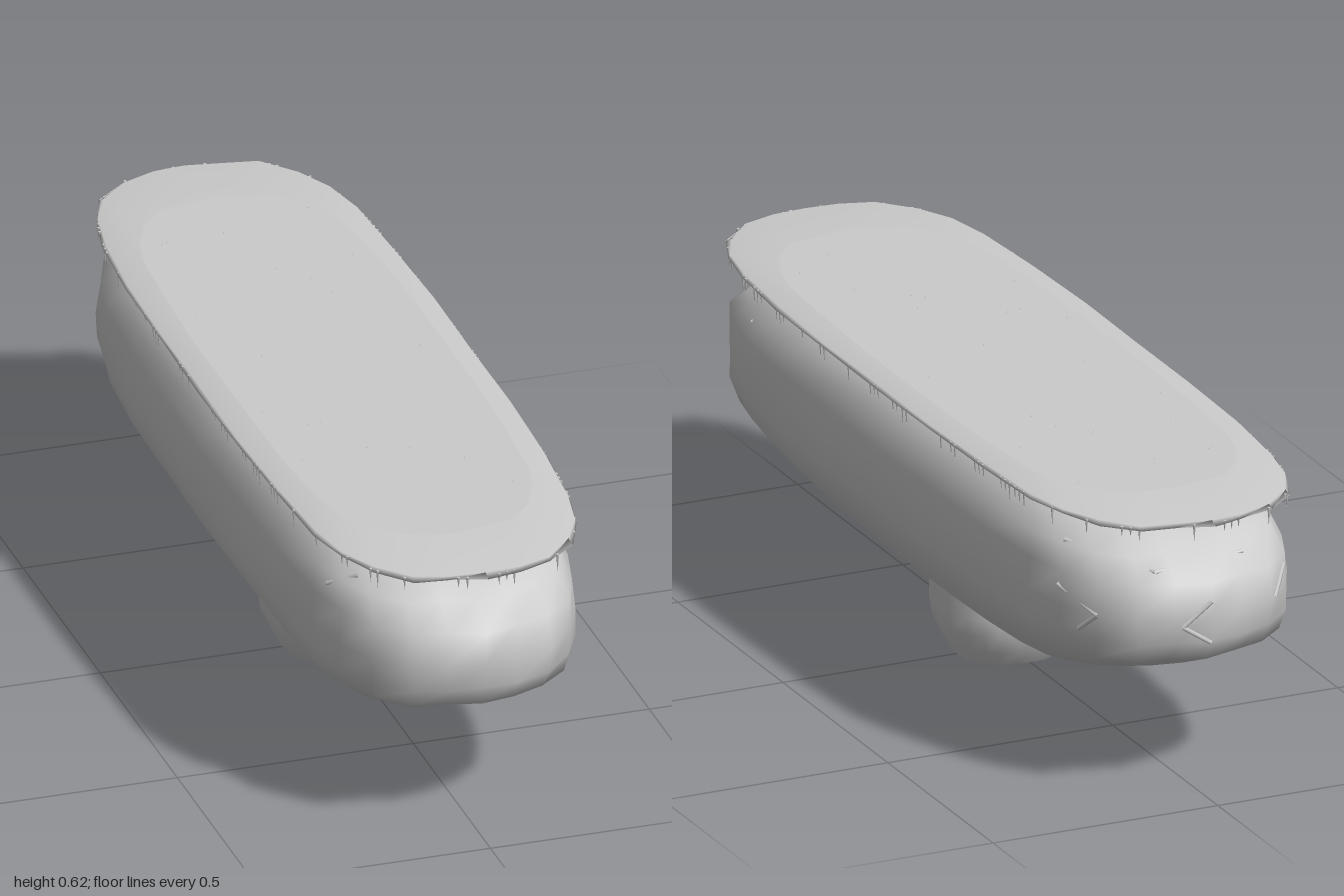
import * as THREE from 'three';

// Quarter plan outlines on a unit half width / half length, mirrored into closed rings
const LONG = [[1, 0], [0.995, 0.25], [0.975, 0.5], [0.93, 0.7], [0.85, 0.81], [0.72, 0.9], [0.5, 0.965], [0.25, 0.985], [0, 1]];
const ROUND = [[1, 0], [0.97, 0.3], [0.86, 0.58], [0.7, 0.74], [0.54, 0.87], [0.28, 0.97], [0, 1]];

function mirrorOutline(quarter) {
  const q1 = quarter.slice(0, -1);
  const q2 = quarter.slice(1).reverse().map(([x, z]) => [-x, z]);
  const half = [...q1, ...q2];
  return [...half, ...half.map(([x, z]) => [-x, -z])];
}

// Loft rings [y, halfWidth, halfLength] from bottom to top, with separate flat caps
function loft(quarter, rings, lump) {
  const outline = mirrorOutline(quarter), n = outline.length;
  const pos = [], idx = [];
  const addRing = ([y, w, l], k) => {
    outline.forEach(([x, z], i) => {
      const s = 1 + lump * Math.sin(i * 2.3 + k * 1.7);
      pos.push(x * w * s, y, z * l * s);
    });
  };
  rings.forEach(addRing);
  for (let k = 0; k < rings.length - 1; k++) {
    for (let i = 0; i < n; i++) {
      const a = k * n + i, b = k * n + (i + 1) % n;
      idx.push(a, a + n, b, b, a + n, b + n);
    }
  }
  for (const k of [0, rings.length - 1]) {
    const start = pos.length / 3;
    addRing(rings[k], k);
    pos.push(0, rings[k][0], 0);
    for (let i = 0; i < n; i++) {
      const a = start + i, b = start + (i + 1) % n;
      if (k === 0) idx.push(start + n, a, b);
      else idx.push(start + n, b, a);
    }
  }
  const g = new THREE.BufferGeometry();
  g.setAttribute('position', new THREE.Float32BufferAttribute(pos, 3));
  g.setIndex(idx);
  g.computeVertexNormals();
  return g;
}

export function createModel() {
  const model = new THREE.Group();
  const grey = new THREE.MeshStandardMaterial({ color: 0xcccccc });
  const add = (name, geometry, parent = model) => {
    const mesh = new THREE.Mesh(geometry, grey);
    mesh.name = name;
    parent.add(mesh);
    return mesh;
  };
  const group = (name) => {
    const g = new THREE.Group();
    g.name = name;
    model.add(g);
    return g;
  };

  // Rounded stone body on a small foot
  const body = add('body', loft(LONG, [
    [0.207, 0.213, 0.7], [0.25, 0.248, 0.83], [0.3, 0.281, 0.945], [0.345, 0.291, 0.972],
    [0.4, 0.295, 0.972], [0.47, 0.288, 0.97], [0.515, 0.272, 0.91],
    [0.55, 0.245, 0.83], [0.582, 0.205, 0.73],
  ], 0.006));
  const foot = add('foot', loft(ROUND, [
    [0, 0.113, 0.108], [0.03, 0.131, 0.13], [0.07, 0.15, 0.147],
    [0.11, 0.156, 0.154], [0.21, 0.157, 0.157], [0.25, 0.15, 0.15],
  ], 0.01));

  // Thin overhanging top layer
  add('topSlab', loft(LONG, [
    [0.58, 0.215, 0.73], [0.59, 0.275, 0.94], [0.598, 0.292, 0.985],
    [0.606, 0.288, 0.975], [0.616, 0.24, 0.8],
  ], 0.006));

  // Small hanging tufts scattered in clusters round the rim
  let seed = 7;
  const rand = () => {
    seed = (seed * 16807) % 2147483647;
    return seed / 2147483647;
  };
  const tufts = group('rimTufts');
  const rim = new THREE.CatmullRomCurve3(
    mirrorOutline(LONG).map(([x, z]) => new THREE.Vector3(x * 0.288, 0, z * 0.98)), true);
  for (let c = 0; c < 44; c++) {
    const t = (c + rand() * 0.7) / 44;
    const count = 1 + Math.floor(rand() * 3);
    for (let j = 0; j < count; j++) {
      const p = rim.getPointAt((t + j * 0.004) % 1);
      const length = 0.02 + rand() * 0.02;
      const tuft = add('tuft', new THREE.ConeGeometry(0.0035, length, 5), tufts);
      tuft.rotation.x = Math.PI;
      tuft.position.set(p.x, 0.603 - length / 2, p.z);
    }
  }

  // Tiny sprigs on the top surface
  const sprigs = group('topSprigs');
  for (let i = 0; i < 24; i++) {
    const sprig = add('sprig', new THREE.ConeGeometry(0.003, 0.008, 5), sprigs);
    sprig.position.set((rand() - 0.5) * 0.42, 0.617, (rand() - 0.5) * 1.5);
  }

  // Thin raised crack lines, laid on the stone by casting along z
  const cracks = group('cracks');
  const caster = new THREE.Raycaster();
  const surfacePoint = (mesh, x, y, side) => {
    caster.set(new THREE.Vector3(x, y, side * 2), new THREE.Vector3(0, 0, -side));
    const hit = caster.intersectObject(mesh)[0];
    return hit ? hit.point : new THREE.Vector3(x, y, 0);
  };
  const addCrack = (mesh, side, points) => {
    for (let i = 0; i < points.length - 1; i++) {
      const a = surfacePoint(mesh, ...points[i], side);
      const b = surfacePoint(mesh, ...points[i + 1], side);
      add('crack', new THREE.TubeGeometry(new THREE.LineCurve3(a, b), 1, 0.005, 6), cracks);
    }
  };
  model.updateMatrixWorld(true);
  addCrack(body, 1, [[-0.25, 0.495], [-0.2, 0.53]]);
  addCrack(body, 1, [[0.25, 0.497], [0.11, 0.56], [0.05, 0.578]]);
  addCrack(body, 1, [[-0.13, 0.552], [-0.04, 0.578]]);
  addCrack(body, -1, [[0.22, 0.52], [0.1, 0.49], [-0.1, 0.5]]);
  addCrack(body, -1, [[0.25, 0.44], [0.21, 0.4], [0.23, 0.36]]);
  addCrack(body, -1, [[0, 0.43], [0.06, 0.38], [0, 0.34]]);
  addCrack(body, -1, [[-0.2, 0.45], [-0.16, 0.4]]);
  addCrack(foot, -1, [[-0.09, 0.17], [-0.05, 0.12], [-0.07, 0.08]]);
  addCrack(foot, -1, [[0.02, 0.13], [0.08, 0.11]]);

  return model;
}
